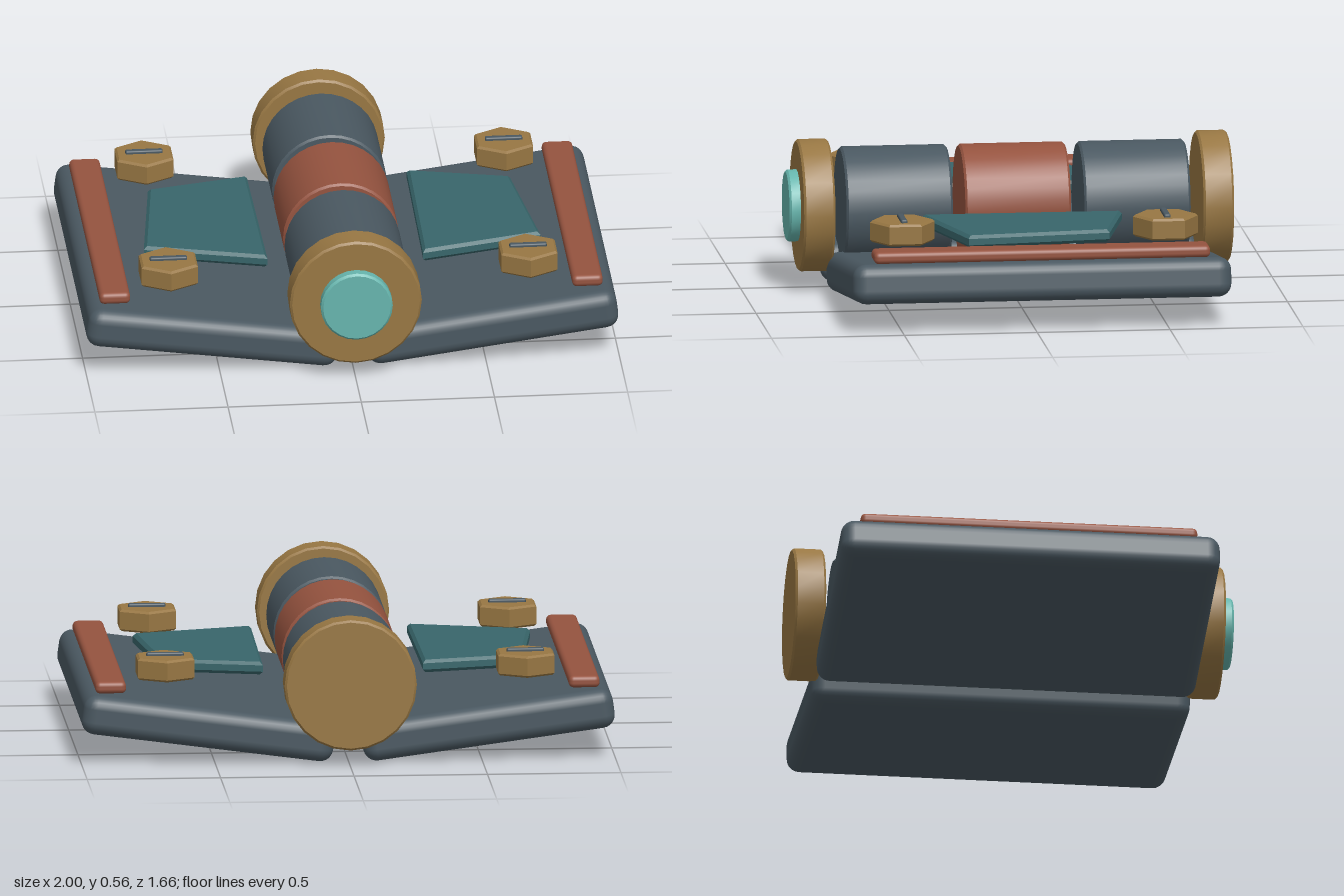
import * as THREE from 'three';
import { toCreasedNormals } from 'three/addons/utils/BufferGeometryUtils.js';
import { RoundedBoxGeometry } from 'three/addons/geometries/RoundedBoxGeometry.js';

const mat = (name, color) => Object.assign(new THREE.MeshStandardMaterial({ color }), { name });

// Bevelled prism of a 2D outline, running from z = 0 to z = depth
function prism(points, depth, bevel) {
  const shape = new THREE.Shape(points.map(([x, y]) => new THREE.Vector2(x, y)));
  const geo = new THREE.ExtrudeGeometry(shape, {
    depth: depth - 2 * bevel, bevelThickness: bevel, bevelSize: bevel,
    bevelOffset: -bevel, bevelSegments: 1,
  });
  geo.translate(0, 0, bevel);
  return toCreasedNormals(geo, 0.5);
}

// Regular polygon outline with a corner at the top
const polygon = (radius, sides) => Array.from({ length: sides }, (_, i) => {
  const a = Math.PI / 2 + (i / sides) * Math.PI * 2;
  return [radius * Math.cos(a), radius * Math.sin(a)];
});

export function createModel() {
  const model = new THREE.Group();
  model.name = 'hinge';
  const slate = mat('slate', 0x4a5861);
  const brass = mat('brass', 0x987743);
  const rust = mat('rust', 0x95533f);
  const teal = mat('teal', 0x38666b);
  const aqua = mat('aqua', 0x66b5ad);

  const add = (name, geo, material, x, y, z) => {
    const mesh = new THREE.Mesh(geo, material);
    mesh.name = name;
    mesh.position.set(x, y, z);
    model.add(mesh);
    return mesh;
  };

  // Barrel along z: knuckles, end caps and the front button
  const barrel = (name, radius, sides, z0, z1, material) =>
    add(name, prism(polygon(radius, sides), z1 - z0, 0.008), material, 0, 0.312, z0);
  barrel('frontKnuckle', 0.217, 32, 0.225, 0.625, slate);
  barrel('middleKnuckle', 0.217, 32, -0.22, 0.178, rust);
  barrel('backKnuckle', 0.217, 32, -0.67, -0.27, slate);
  barrel('frontCap', 0.248, 24, 0.67, 0.788, brass);
  barrel('backCap', 0.248, 24, -0.83, -0.715, brass);
  barrel('capButton', 0.135, 24, 0.77, 0.83, aqua);

  for (const [side, s] of [['left', 1], ['right', -1]]) {
    // Tilted leaf plate
    const leaf = add(side + 'Leaf', new RoundedBoxGeometry(0.95, 0.15, 1.425, 3, 0.05), slate, s * 0.524, 0.131, -0.024);
    leaf.rotation.z = s * 0.133;

    // Rail along the outer edge
    add(side + 'Rail', new RoundedBoxGeometry(0.115, 0.045, 1.265, 3, 0.018), rust, s * 0.887, 0.282, -0.027);

    // Inlaid panel, a lopsided quadrilateral
    const outline = [[0.3, -0.4], [0.68, -0.31], [0.745, 0.228], [0.292, 0.353]];
    const panel = prism(outline.map(([x, z]) => [s * x, z]), 0.048, 0.012);
    panel.rotateX(Math.PI / 2);
    add(side + 'Panel', panel, teal, 0, 0.324, 0);

    // Hexagonal bolts with a slot bar on top
    for (const [end, z] of [['Front', 0.47], ['Back', -0.52]]) {
      const head = prism(polygon(0.122, 6), 0.082, 0.008);
      head.rotateX(Math.PI / 2);
      add(side + end + 'Bolt', head, brass, s * 0.675, 0.378, z);
      add(side + end + 'BoltSlot', new RoundedBoxGeometry(0.14, 0.022, 0.024, 2, 0.006), slate, s * 0.675, 0.379, z);
    }
  }
  return model;
}
